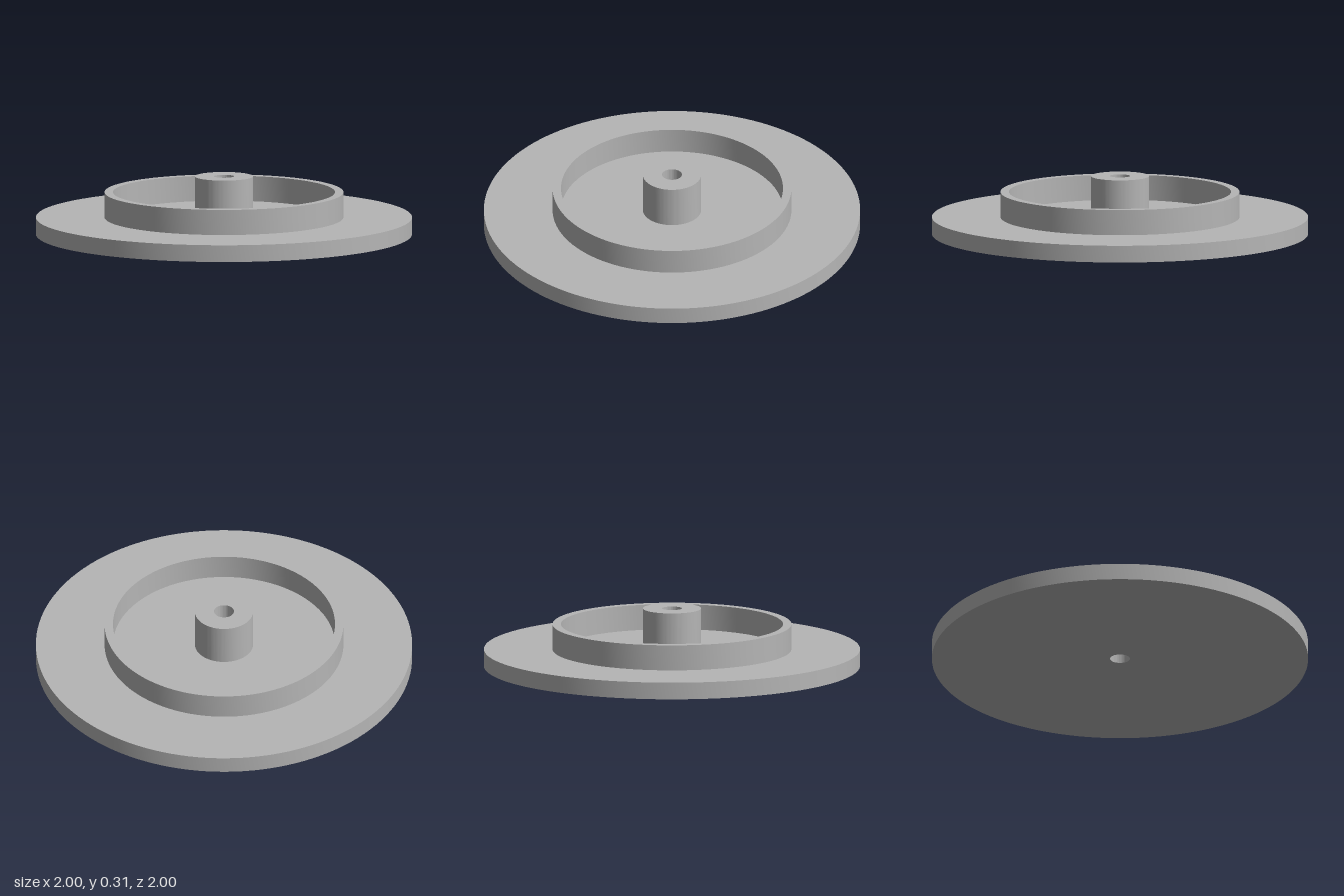
import * as THREE from 'three';
import { toCreasedNormals } from 'three/addons/utils/BufferGeometryUtils.js';

const PLATE_R = 1, RIM_OUT = 0.635, RIM_IN = 0.59, HUB_R = 0.155, BORE_R = 0.053;
const PLATE_TOP = 0.09, RIM_TOP = 0.225, HUB_TOP = 0.31;

export function createModel() {
  const group = new THREE.Group();
  const grey = new THREE.MeshStandardMaterial({ color: 0xb5b5b5 });
  grey.name = 'plain grey';

  // Turns a profile of [radius, height] points into a part with sharp corners
  function turned(name, profile) {
    const points = profile.map(([r, y]) => new THREE.Vector2(r, y));
    const geometry = toCreasedNormals(new THREE.LatheGeometry(points, 128), Math.PI / 6);
    const mesh = new THREE.Mesh(geometry, grey);
    mesh.name = name;
    group.add(mesh);
  }

  // Flat round flange with its underside
  turned('basePlate', [[BORE_R, 0], [PLATE_R, 0], [PLATE_R, PLATE_TOP], [RIM_OUT, PLATE_TOP]]);
  // Raised thin-walled ring
  turned('raisedRim', [[RIM_OUT, PLATE_TOP], [RIM_OUT, RIM_TOP], [RIM_IN, RIM_TOP], [RIM_IN, PLATE_TOP]]);
  // Floor between ring and hub
  turned('recessFloor', [[RIM_IN, PLATE_TOP], [HUB_R, PLATE_TOP]]);
  // Central hub with the through bore
  turned('centreHub', [[HUB_R, PLATE_TOP], [HUB_R, HUB_TOP], [BORE_R, HUB_TOP], [BORE_R, 0]]);

  return group;
}
